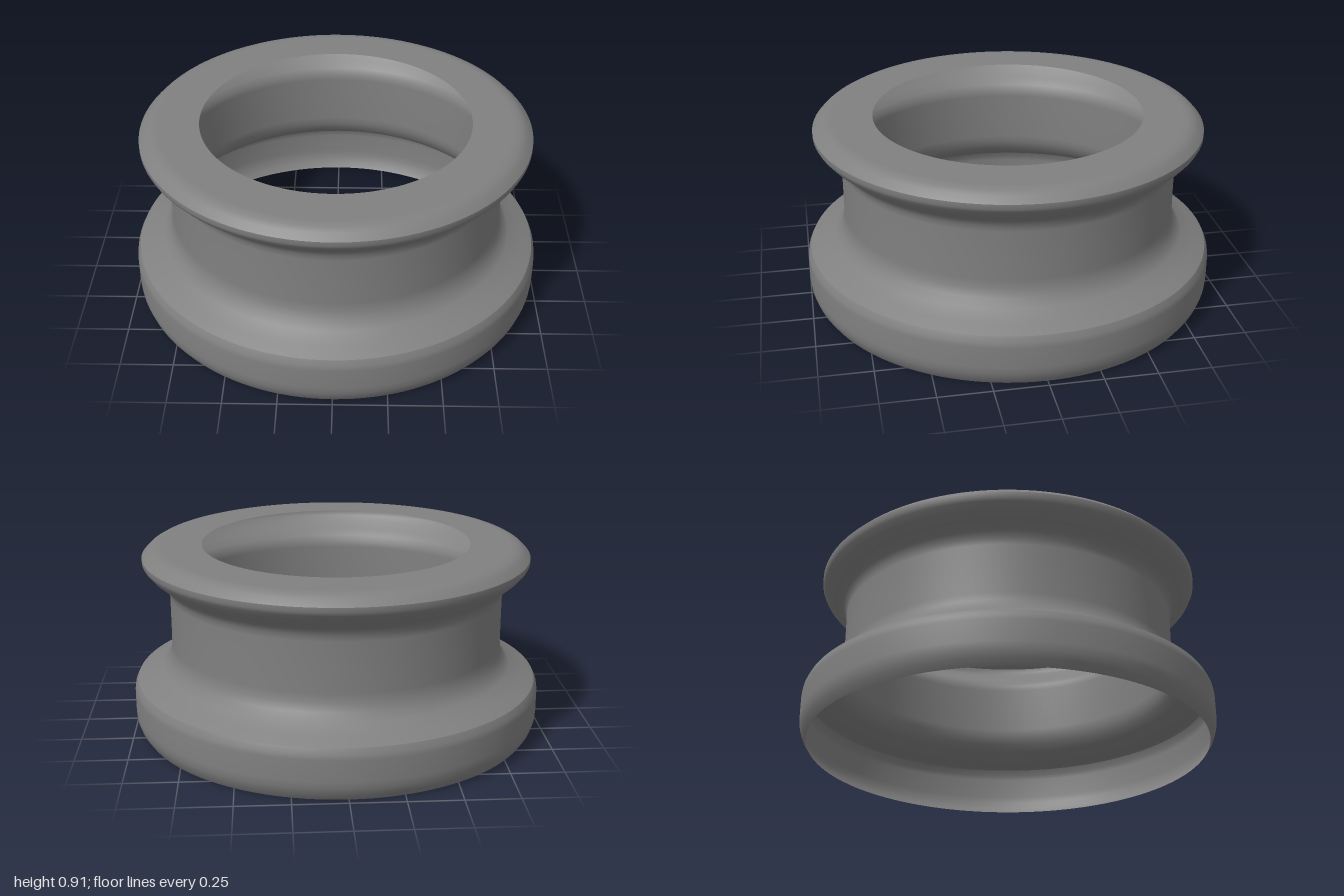
import * as THREE from 'three';

// Open ring: a thin sheet profile turned about the y axis
export function createModel() {
  const group = new THREE.Group();
  group.name = 'flangedRing';
  const grey = new THREE.MeshStandardMaterial({ color: 0x808080, side: THREE.DoubleSide });
  grey.name = 'grey';

  // Profiles as [radius, height], bottom to top; sections meet at sharp edges
  const sections = {
    baseBand: [[0.965, 0], [0.985, 0.03], [0.997, 0.065], [1, 0.1], [1, 0.2], [0.996, 0.225], [0.983, 0.252]],
    waistFlare: [[0.983, 0.252], [0.93, 0.28], [0.86, 0.315], [0.83, 0.35], [0.815, 0.39], [0.81, 0.43],
      [0.81, 0.67], [0.814, 0.7], [0.83, 0.73], [0.865, 0.76], [0.905, 0.795], [0.928, 0.822], [0.937, 0.84], [0.937, 0.862]],
    topLip: [[0.937, 0.862], [0.91, 0.89], [0.885, 0.904], [0.86, 0.909], [0.84, 0.91], [0.65, 0.91]],
  };

  for (const [name, profile] of Object.entries(sections)) {
    const points = profile.map(([r, y]) => new THREE.Vector2(r, y));
    const mesh = new THREE.Mesh(new THREE.LatheGeometry(points, 128), grey);
    mesh.name = name;
    group.add(mesh);
  }
  return group;
}
